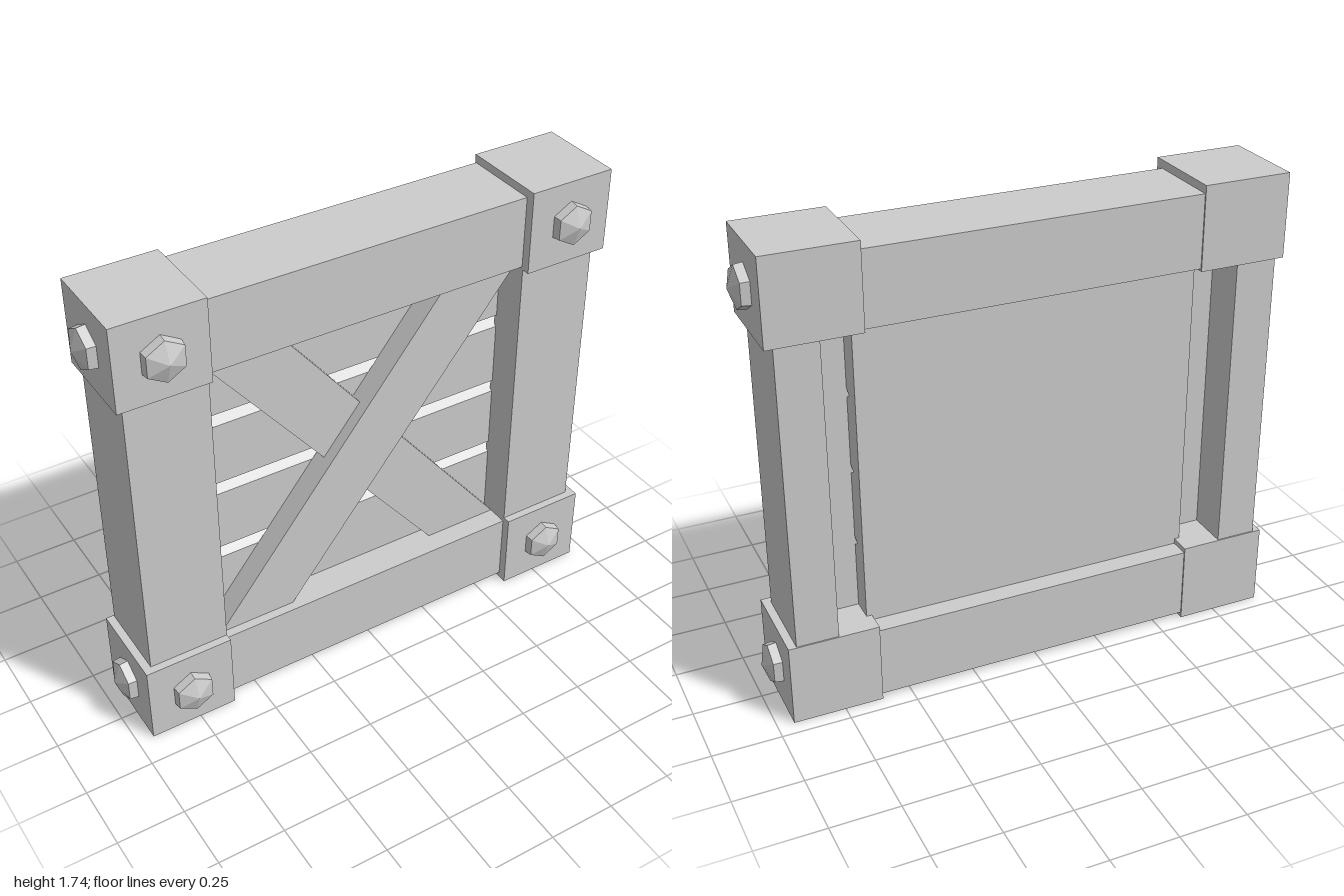
import * as THREE from 'three';

const material = new THREE.MeshStandardMaterial({ color: 0xcccccc });
material.name = 'plain grey';

function shapeOf(points) {
  return new THREE.Shape(points.map(([x, y]) => new THREE.Vector2(x, y)));
}

function extrude(points, depth) {
  return new THREE.ExtrudeGeometry(shapeOf(points), { depth, bevelEnabled: false });
}

// Box given by its min and max corners
function box(x0, x1, y0, y1, z0, z1) {
  return new THREE.BoxGeometry(x1 - x0, y1 - y0, z1 - z0)
    .translate((x0 + x1) / 2, (y0 + y1) / 2, (z0 + z1) / 2);
}

// Hexagonal bolt head with a pointed cap, its base on z = 0, pointing to +z
function makeBolt(name) {
  const bolt = new THREE.Group();
  bolt.name = name;
  const head = new THREE.CylinderGeometry(0.076, 0.08, 0.032, 6).toNonIndexed();
  head.translate(0, 0.016, 0).rotateX(Math.PI / 2);
  const cap = new THREE.ConeGeometry(0.076, 0.026, 6, 1, true).toNonIndexed();
  cap.translate(0, 0.045, 0).rotateX(Math.PI / 2);
  for (const [part, geometry] of [['boltHead', head], ['boltCap', cap]]) {
    geometry.computeVertexNormals();
    const mesh = new THREE.Mesh(geometry, material);
    mesh.name = part;
    bolt.add(mesh);
  }
  return bolt;
}

export function createModel() {
  const model = new THREE.Group();
  model.name = 'bracedPanel';
  const add = (name, geometry) => {
    const mesh = new THREE.Mesh(geometry, material);
    mesh.name = name;
    model.add(mesh);
  };

  // Horizontal rails
  add('bottomRail', box(-0.61, 0.61, 0.02, 0.29, -0.19, 0.105));
  add('topRail', box(-0.61, 0.61, 1.44, 1.71, -0.19, 0.105));

  for (const side of [-1, 1]) {
    const sideName = side > 0 ? 'left' : 'right';

    // Upright post, rebated along its inner back edge; points are (x, -z)
    const section = [[0.61, -0.11], [0.91, -0.11], [0.91, 0.19], [0.757, 0.19], [0.757, 0.03], [0.61, 0.03]];
    const post = extrude(section.map(([x, y]) => [x * side, y]), 1.14);
    add(sideName + 'Post', post.rotateX(-Math.PI / 2).translate(0, 0.3, 0));

    // Corner blocks, each with a front and an outer bolt
    for (const [level, y] of [['Bottom', 0], ['Top', 1.43]]) {
      const block = box(0.61, 0.94, y, y + 0.31, -0.195, 0.14);
      if (side < 0) block.translate(-1.55, 0, 0);
      add(sideName + level + 'Block', block);

      const front = makeBolt(sideName + level + 'FrontBolt');
      front.position.set(0.775 * side, y + 0.155, 0.14);
      const outer = makeBolt(sideName + level + 'SideBolt');
      outer.position.set(0.94 * side, y + 0.155, -0.03);
      outer.rotation.y = side * Math.PI / 2;
      model.add(front, outer);
    }
  }

  // Plank panel: cross-section in (-z, y) with V grooves on the front
  const profile = [[0.115, 0.28], [0.02, 0.28]];
  for (const y of [0.577, 0.862, 1.15]) {
    profile.push([0.02, y - 0.024], [0.055, y], [0.02, y + 0.024]);
  }
  profile.push([0.02, 1.45], [0.115, 1.45]);
  add('plankPanel', extrude(profile, 1.26).rotateY(Math.PI / 2).translate(-0.63, 0, 0));

  // Crossed diagonal braces, one lying over the other
  const brace = [[-0.61, 0.29], [-0.315, 0.29], [0.61, 1.44], [0.315, 1.44]];
  add('rearBrace', extrude(brace.map(([x, y]) => [-x, y]), 0.045).translate(0, 0, -0.02));
  add('frontBrace', extrude(brace, 0.09).translate(0, 0, -0.02));

  return model;
}
